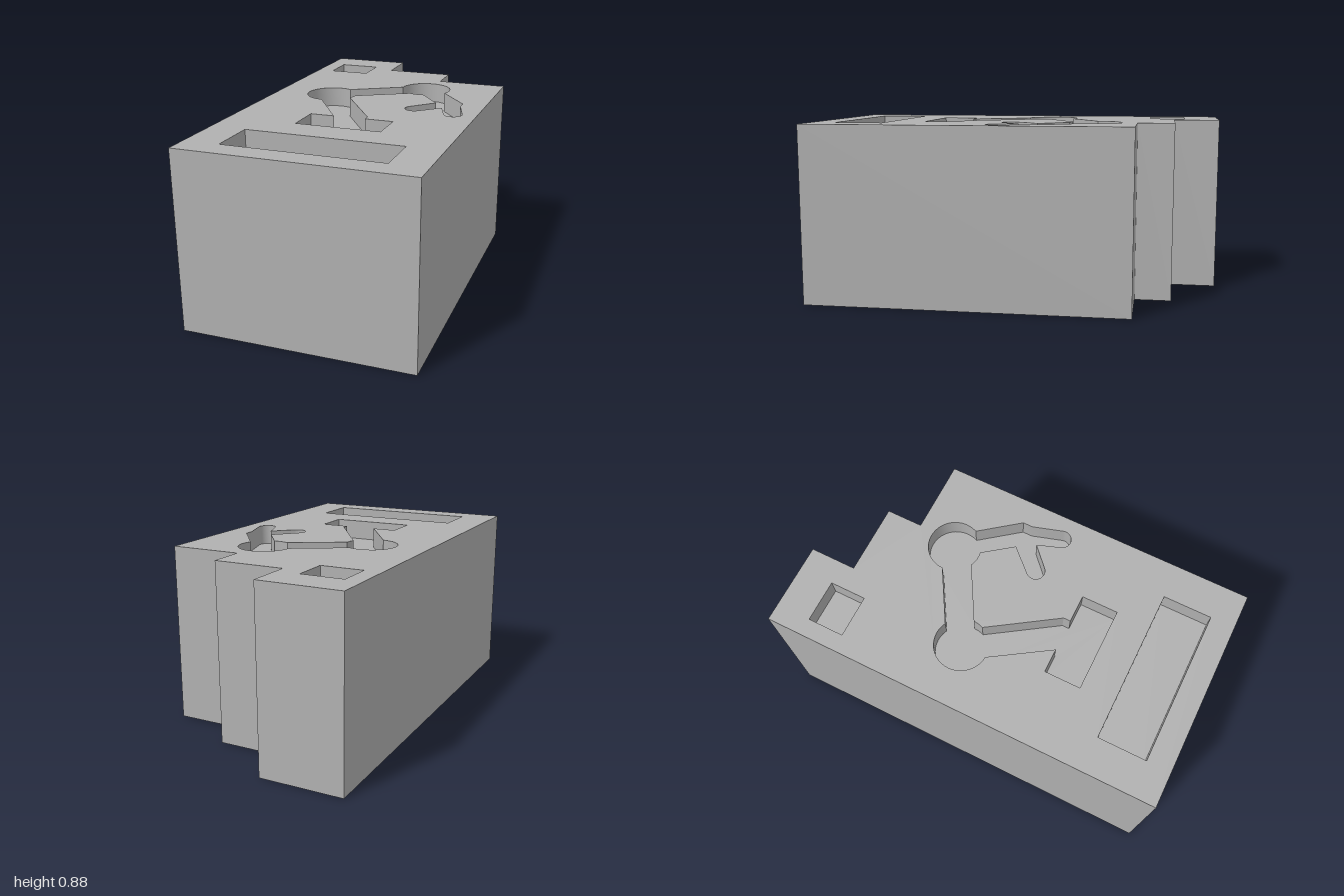
import * as THREE from 'three';
import { toCreasedNormals } from 'three/addons/utils/BufferGeometryUtils.js';

const HEIGHT = 0.88;
const FLOOR = HEIGHT - 0.1;

// All outlines are [x, z] points, clockwise as seen from above.
const rect = (x0, z0, x1, z1) => [[x0, z0], [x1, z0], [x1, z1], [x0, z1]];

function arc(cx, cz, r, from, to) {
  const n = Math.max(3, Math.ceil((to - from) / 9));
  return Array.from({ length: n + 1 }, (_, i) => {
    const a = THREE.MathUtils.degToRad(from + ((to - from) * i) / n);
    return [cx + r * Math.cos(a), cz + r * Math.sin(a)];
  });
}

const vectors = (points, sign) => points.map(([x, z]) => new THREE.Vector2(x, sign * z));

// Horizontal face looking up, with optional holes
function faceUp(outline, y, holes = []) {
  const shape = new THREE.Shape(vectors(outline, -1));
  shape.holes = holes.map((h) => new THREE.Path(vectors(h, -1)));
  return new THREE.ShapeGeometry(shape).rotateX(-Math.PI / 2).translate(0, y, 0);
}

// Horizontal face looking down
function faceDown(outline, y) {
  return new THREE.ShapeGeometry(new THREE.Shape(vectors(outline, 1)))
    .rotateX(Math.PI / 2).translate(0, y, 0);
}

// Upright wall along an outline; clockwise outlines face outward
function wall(outline, y0, y1) {
  const pos = [];
  outline.forEach(([px, pz], i) => {
    const [qx, qz] = outline[(i + 1) % outline.length];
    pos.push(px, y1, pz, qx, y1, qz, px, y0, pz);
    pos.push(qx, y1, qz, qx, y0, qz, px, y0, pz);
  });
  const geometry = new THREE.BufferGeometry();
  geometry.setAttribute('position', new THREE.Float32BufferAttribute(pos, 3));
  geometry.computeVertexNormals();
  return toCreasedNormals(geometry, Math.PI / 6);
}

export function createModel() {
  const model = new THREE.Group();
  model.name = 'pocketedBlock';
  const grey = new THREE.MeshStandardMaterial({ color: 0xb0b0b0 });
  grey.name = 'plain grey';
  const add = (parent, name, geometry) => {
    const mesh = new THREE.Mesh(geometry, grey);
    mesh.name = name;
    parent.add(mesh);
  };

  // Block outline with two steps at the back
  const block = [
    [-0.56, -1], [-0.15, -1], [-0.15, -0.77], [0.2, -0.77],
    [0.2, -0.59], [0.56, -0.59], [0.56, 1], [-0.56, 1],
  ];

  // Jointed arm with a foot, two round joints and a two-fingered gripper
  const arm = [
    [-0.21, 0.47], [-0.21, 0.29], [-0.09, 0.29],
    ...arc(-0.265, -0.12, 0.13, 93, 297),
    ...arc(0.175, -0.385, 0.13, 180, 385),
    [0.44, -0.14], [0.44, -0.09],
    ...arc(0.443, 0.07, 0.045, -17, 163),
    [0.36, -0.03],
    ...arc(0.233, 0.028, 0.045, 45, 225),
    [0.307, -0.115],
    ...arc(0.175, -0.385, 0.13, 79, 115),
    ...arc(-0.265, -0.12, 0.13, 0, 23),
    [0.07, 0.255], [0.07, 0.29], [0.21, 0.29], [0.21, 0.47],
  ];

  const pockets = {
    frontSlot: rect(-0.385, 0.64, 0.385, 0.88),
    backSquare: rect(-0.475, -0.825, -0.265, -0.645),
    armPocket: arm,
  };

  // Solid body
  add(model, 'blockSides', wall(block, 0, HEIGHT));
  add(model, 'blockTop', faceUp(block, HEIGHT, Object.values(pockets)));
  add(model, 'blockBottom', faceDown(block, 0));

  // Recesses in the top
  for (const [name, outline] of Object.entries(pockets)) {
    const pocket = new THREE.Group();
    pocket.name = name;
    add(pocket, name + 'Floor', faceUp(outline, FLOOR));
    add(pocket, name + 'Walls', wall([...outline].reverse(), FLOOR, HEIGHT));
    model.add(pocket);
  }
  return model;
}
